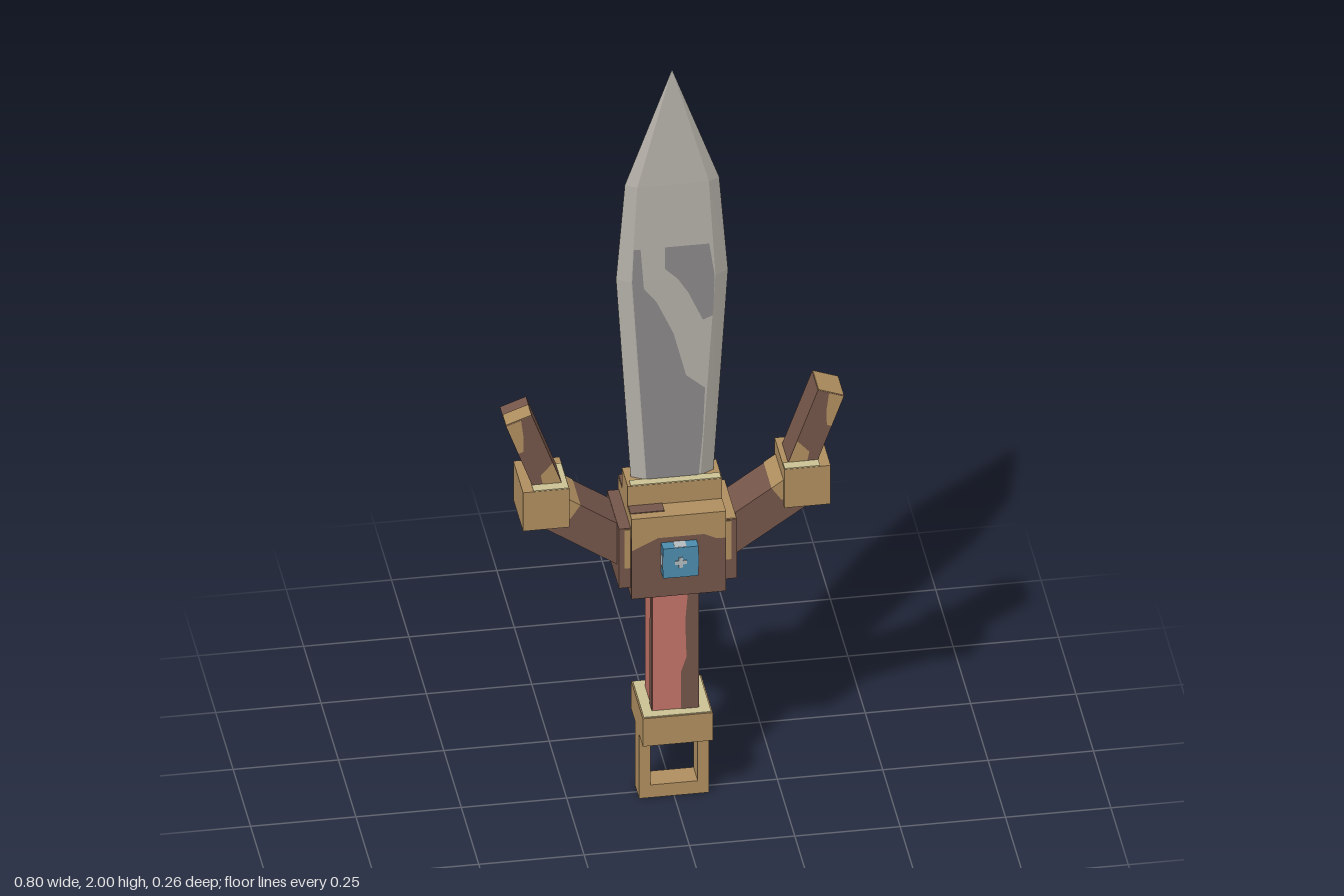
import * as THREE from 'three';

const mat = (name, color) => new THREE.MeshStandardMaterial({ name, color, flatShading: true, side: THREE.DoubleSide });

export function createModel() {
  const gold = mat('gold', 0xb08f60), cream = mat('cream', 0xccc294), brown = mat('brown', 0x75564a);
  const red = mat('red', 0xc47468), blue = mat('blue', 0x4c8cae), pale = mat('pale', 0xb4bcc0);
  const steel = mat('steel', 0xb4b0a8), darkSteel = mat('darkSteel', 0x8b898a);
  const model = new THREE.Group();

  const add = (name, geometry, material, parent = model) => {
    const mesh = new THREE.Mesh(geometry, material);
    mesh.name = name;
    parent.add(mesh);
    return mesh;
  };
  // Box given by its limits on each axis
  const box = (name, material, x0, x1, y0, y1, z0, z1, parent) => {
    const mesh = add(name, new THREE.BoxGeometry(x1 - x0, y1 - y0, z1 - z0), material, parent);
    mesh.position.set((x0 + x1) / 2, (y0 + y1) / 2, (z0 + z1) / 2);
    return mesh;
  };
  // Flat painted patch facing +z
  const patch = (name, material, points, z, parent) => {
    const shape = new THREE.Shape(points.map(([x, y]) => new THREE.Vector2(x, y)));
    const mesh = add(name, new THREE.ShapeGeometry(shape), material, parent);
    mesh.position.z = z;
    return mesh;
  };

  // Pommel ring with square hole
  const ring = new THREE.Shape([[-0.083, 0], [0.083, 0], [0.083, 0.18], [-0.083, 0.18]].map(p => new THREE.Vector2(...p)));
  ring.holes.push(new THREE.Path([[-0.056, 0.035], [-0.056, 0.145], [0.056, 0.145], [0.056, 0.035]].map(p => new THREE.Vector2(...p))));
  add('pommelRing', new THREE.ExtrudeGeometry(ring, { depth: 0.06, bevelEnabled: false }), gold).position.z = -0.03;

  // Pommel collar with a pale top, and grip
  box('pommelCollar', gold, -0.083, 0.083, 0.178, 0.255, -0.083, 0.083);
  box('collarTop', cream, -0.08, 0.08, 0.254, 0.257, -0.08, 0.08);
  box('grip', red, -0.055, 0.055, 0.25, 0.605, -0.055, 0.055);

  // Guard block, its neck and pale rim
  box('guardBlock', brown, -0.112, 0.112, 0.6, 0.765, -0.098, 0.098);
  box('guardCap', gold, -0.112, 0.112, 0.765, 0.822, -0.098, 0.098);
  box('guardCapBackStain', brown, -0.111, 0.085, 0.82, 0.824, -0.097, -0.042);
  box('guardCapFrontStain', brown, -0.111, -0.03, 0.82, 0.824, 0.042, 0.075);
  box('bladeNeck', gold, -0.112, 0.112, 0.82, 0.878, -0.042, 0.042);
  box('neckRim', cream, -0.105, 0.11, 0.877, 0.88, 0.018, 0.041);

  // Blade: six-sided sections (height, half width, half flat, half thickness)
  const sections = [[0.87, 0.098, 0.065, 0.018], [1.43, 0.133, 0.1, 0.019], [1.69, 0.112, 0.085, 0.016], [2, 0, 0, 0]];
  const rings = sections.map(([y, w, f, t]) =>
    [[w, 0], [f, t], [-f, t], [-w, 0], [-f, -t], [f, -t]].map(([x, z]) => [x, y, z]));
  const verts = [];
  for (let i = 0; i < rings.length - 1; i++) {
    for (let j = 0; j < 6; j++) {
      const k = (j + 1) % 6;
      const [a, b, c, d] = [rings[i][j], rings[i][k], rings[i + 1][k], rings[i + 1][j]];
      verts.push(...a, ...c, ...b);
      if (i < rings.length - 2) verts.push(...a, ...d, ...c);
    }
  }
  for (let v = 0; v < verts.length; v += 9) { // wind every face outwards
    for (let n = 0; n < 3; n++) [verts[v + 3 + n], verts[v + 6 + n]] = [verts[v + 6 + n], verts[v + 3 + n]];
  }
  const bladeGeometry = new THREE.BufferGeometry();
  bladeGeometry.setAttribute('position', new THREE.Float32BufferAttribute(verts, 3));
  bladeGeometry.computeVertexNormals();
  add('blade', bladeGeometry, steel);

  // Details repeated on the front and, turned half round, on the back
  for (const turn of [0, Math.PI]) {
    const face = new THREE.Group();
    face.name = turn ? 'backDetails' : 'frontDetails';
    face.rotation.y = turn;
    model.add(face);

    // Dark patches on the blade
    patch('bladeLowerShade', darkSteel, [[-0.098, 1.43], [-0.094, 1.52], [-0.078, 1.52], [-0.07, 1.41], [-0.04, 1.37],
      [0, 1.28], [0.03, 1.16], [0.075, 1.12], [0.07, 1.0], [0.06, 0.88], [-0.064, 0.88]], 0.0205, face);
    patch('bladeUpperShade', darkSteel, [[-0.02, 1.52], [0.085, 1.52], [0.098, 1.43], [0.094, 1.32], [0.07, 1.31],
      [0.035, 1.39], [0.01, 1.43], [-0.02, 1.46]], 0.0205, face);

    // Worn strips on the grip
    patch('gripWear', brown, [[0.012, 0.257], [0.055, 0.257], [0.055, 0.6], [0.03, 0.6], [0.022, 0.5], [0.025, 0.4], [0.012, 0.36]], 0.057, face);
    const side = patch('gripSideWear', brown, [[0.02, 0.257], [0.055, 0.257], [0.055, 0.6], [0.03, 0.6], [0.022, 0.42]], 0, face);
    side.rotation.y = Math.PI / 2;
    side.position.x = 0.057;

    // Worn gold edge on the guard
    patch('guardWear', gold, [[-0.111, 0.77], [-0.111, 0.735], [-0.08, 0.75], [-0.05, 0.765], [0.06, 0.765], [0.09, 0.75], [0.111, 0.75], [0.111, 0.77]], 0.1, face);

    // Gem with pale bands and glint
    box('gem', blue, -0.042, 0.042, 0.668, 0.75, 0.09, 0.126, face);
    box('gemBandUpright', pale, -0.014, 0.014, 0.667, 0.751, 0.095, 0.125, face);
    box('gemBandAcross', pale, -0.043, 0.043, 0.692, 0.726, 0.095, 0.125, face);
    box('gemGlintTall', pale, -0.005, 0.005, 0.695, 0.723, 0.125, 0.128, face);
    box('gemGlintWide', pale, -0.014, 0.014, 0.704, 0.714, 0.125, 0.128, face);
  }

  // Curved guard arms, one per side
  for (const s of [1, -1]) {
    const arm = new THREE.Group();
    arm.name = s > 0 ? 'leftArm' : 'rightArm';
    model.add(arm);
    const sideBox = (name, m, x0, x1, ...rest) => box(name, m, Math.min(s * x0, s * x1), Math.max(s * x0, s * x1), ...rest, arm);

    sideBox('sidePlate', brown, 0.11, 0.14, 0.625, 0.79, -0.085, 0.085);
    if (s > 0) sideBox('sidePlateTop', gold, 0.113, 0.139, 0.788, 0.792, -0.084, 0.084);
    sideBox('sidePlateWear', gold, 0.113, 0.127, 0.68, 0.787, -0.087, 0.087);

    // Lower arm rising outwards
    const lower = add('lowerArm', new THREE.BoxGeometry(0.24, 0.094, 0.112), brown, arm);
    lower.position.set(s * 0.2, 0.772, 0);
    lower.rotation.z = s * 0.6;
    box('lowerArmWear', gold, s * 0.085 - 0.02, s * 0.085 + 0.02, 0.005, 0.048, -0.0575, 0.0575, lower);

    // Cuff with pale worn top edges
    sideBox('cuff', gold, 0.255, 0.365, 0.798, 0.905, -0.07, 0.07);
    sideBox('cuffTopFront', cream, 0.256, 0.34, 0.904, 0.907, 0.043, 0.069);
    if (s < 0) sideBox('cuffTopInner', cream, 0.256, 0.276, 0.904, 0.907, -0.04, 0.043);

    // Upper arm leaning outwards, with worn tip
    const upper = add('upperArm', new THREE.BoxGeometry(0.066, 0.23, 0.085), brown, arm);
    upper.position.set(s * 0.331, 0.98, 0);
    upper.rotation.z = -s * 0.35;
    box('tipCap', gold, -0.032, 0.032, 0.113, 0.117, s > 0 ? -0.042 : -0.005, 0.042, upper);
    for (const z of [0.0435, -0.0435]) {
      patch('tipWear', gold, [[s * 0.032, 0.114], [-s * 0.005, 0.114], [s * 0.005, 0.07], [s * 0.02, 0.03], [s * 0.032, 0.03]], z, upper);
      patch('baseWear', gold, [[-s * 0.032, -0.11], [s * 0.015, -0.11], [s * 0.005, -0.05], [-s * 0.032, -0.03]], z, upper);
    }
  }
  return model;
}
